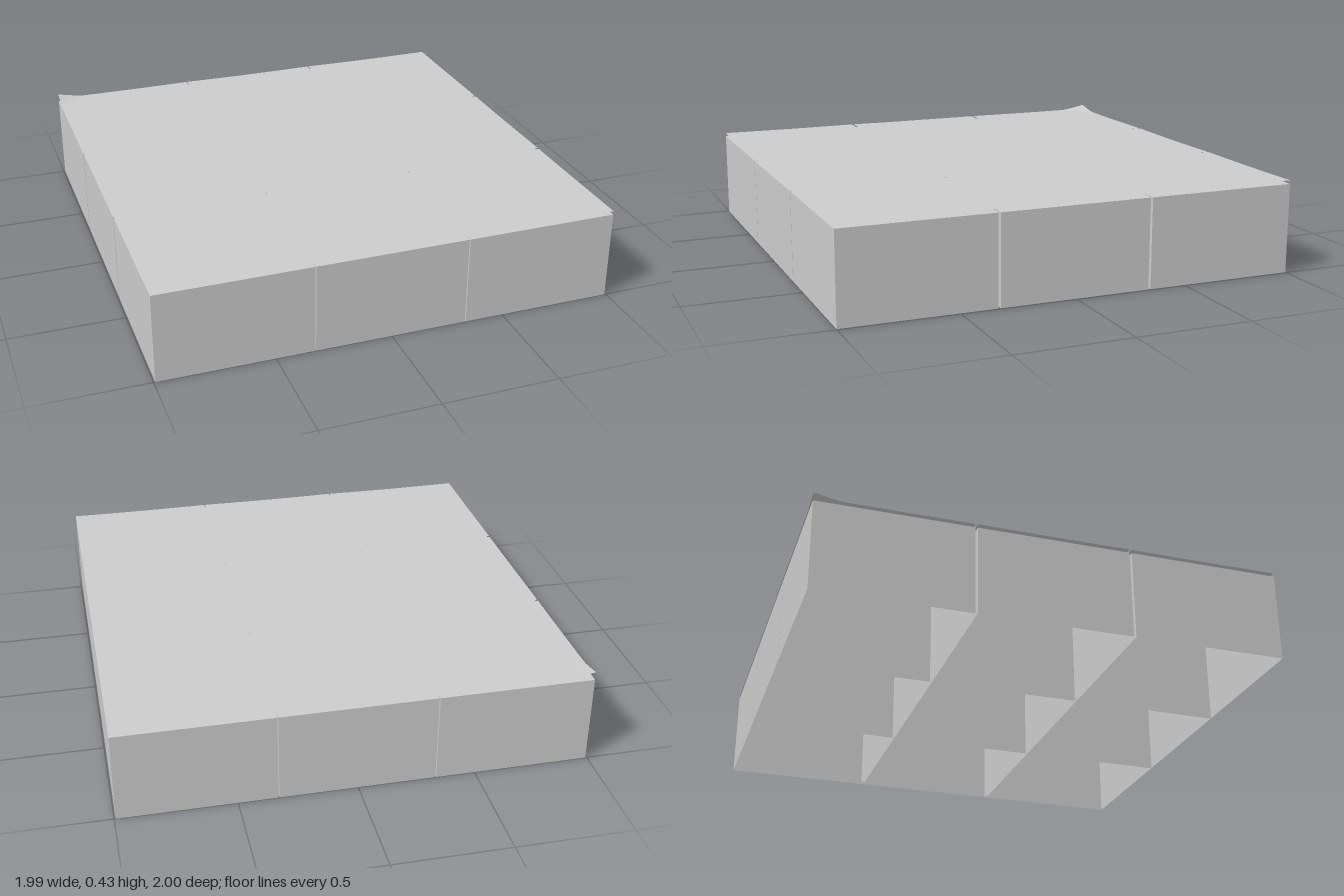
import * as THREE from 'three';

const SIZE = 0.66;      // side of one block
const BODY_H = 0.39;    // height of the open-bottomed body
const SHEET_Y = 0.406;  // height of the thin sheet floating above it
const PITCH_X = 0.664;
const PITCH_Z = 0.67;

const material = new THREE.MeshStandardMaterial({ color: 0xcccccc, side: THREE.DoubleSide });

// Box without its bottom face
function openBox() {
  const geo = new THREE.BoxGeometry(SIZE, BODY_H, SIZE);
  const index = Array.from(geo.index.array);
  index.splice(18, 6);
  geo.setIndex(index);
  geo.clearGroups();
  geo.translate(0, BODY_H / 2, 0);
  return geo;
}

// Thin sheet with a slight sag; optionally one corner curls up
function sheet(curled) {
  const geo = new THREE.PlaneGeometry(SIZE, SIZE, 36, 36);
  geo.rotateX(-Math.PI / 2);
  const p = geo.attributes.position;
  for (let i = 0; i < p.count; i++) {
    const x = p.getX(i), z = p.getZ(i);
    const sag = 0.002 * Math.cos((x * Math.PI) / SIZE) + 0.001 * Math.cos((z * Math.PI) / SIZE);
    const fromCorner = x + z + SIZE;
    const lift = curled ? 0.021 * Math.max(0, 1 - fromCorner / 0.12) ** 1.2 : 0;
    p.setY(i, SHEET_Y - sag + lift);
  }
  geo.computeVertexNormals();
  return geo;
}

export function createModel() {
  const model = new THREE.Group();
  model.name = 'blockGrid';
  const bodyGeo = openBox();
  const flatSheet = sheet(false);
  const curledSheet = sheet(true);

  // Three by three blocks; the back right one has the lifted corner
  for (let row = -1; row <= 1; row++) {
    for (let col = -1; col <= 1; col++) {
      const block = new THREE.Group();
      block.name = 'block';
      const body = new THREE.Mesh(bodyGeo, material);
      body.name = 'body';
      const curled = row === -1 && col === -1;
      const top = new THREE.Mesh(curled ? curledSheet : flatSheet, material);
      top.name = curled ? 'curledTopSheet' : 'topSheet';
      block.add(body, top);
      block.position.set(col * PITCH_X, 0, row * PITCH_Z);
      model.add(block);
    }
  }
  return model;
}
